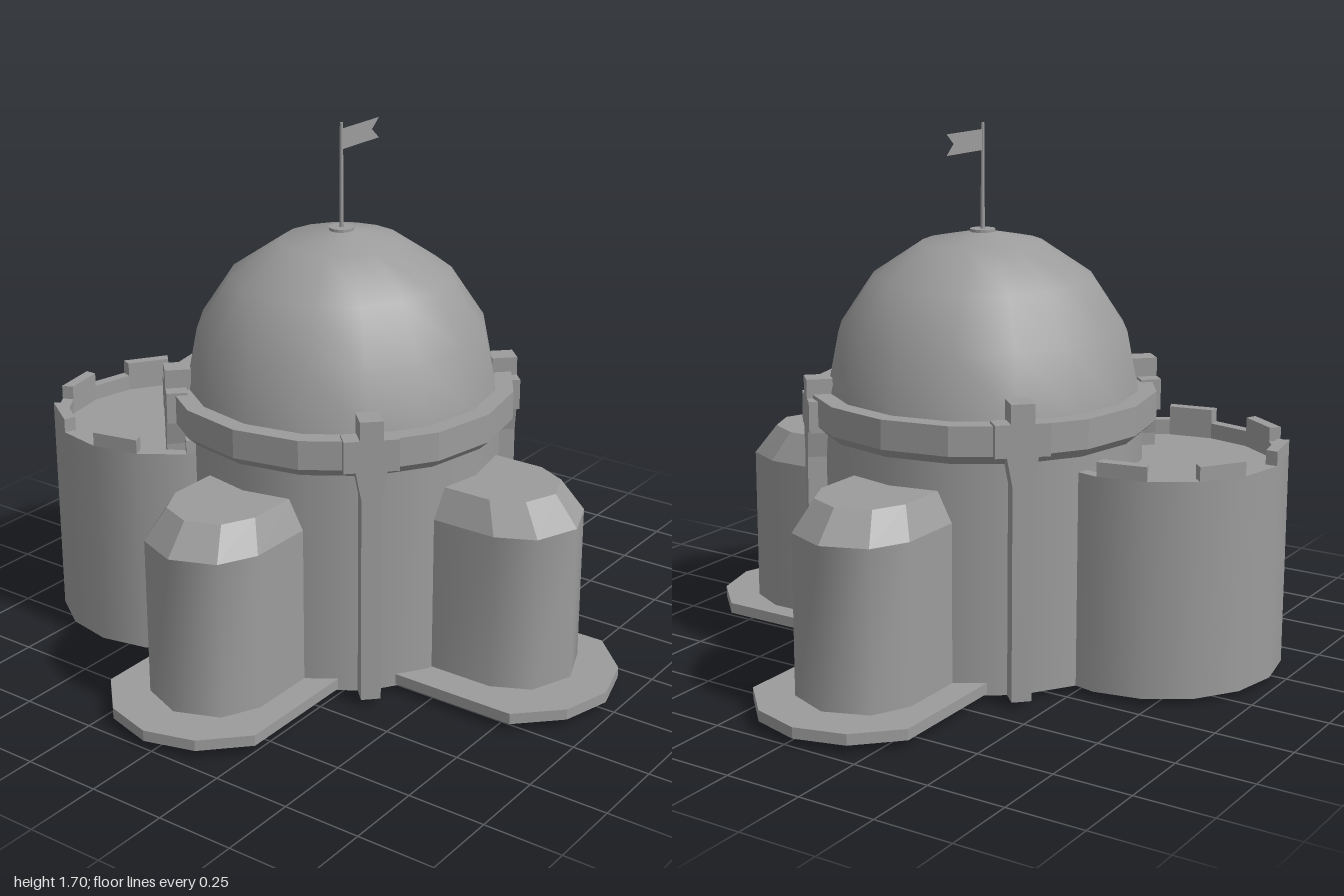
import * as THREE from 'three';
import { toCreasedNormals } from 'three/addons/utils/BufferGeometryUtils.js';

const SIDES = 16;
const smooth = new THREE.MeshStandardMaterial({ color: 0x9c9c9c, side: THREE.DoubleSide });
const faceted = new THREE.MeshStandardMaterial({ color: 0x9c9c9c, side: THREE.DoubleSide, flatShading: true });

function add(parent, name, geometry, material = faceted) {
  const mesh = new THREE.Mesh(geometry, material);
  mesh.name = name;
  parent.add(mesh);
}

function triangles(list) {
  const geometry = new THREE.BufferGeometry();
  geometry.setAttribute('position', new THREE.Float32BufferAttribute(list.flat(), 3));
  geometry.computeVertexNormals();
  return geometry;
}

// Wall between two open outlines of [x, z] points at heights y0 and y1
function band(low, y0, high, y1) {
  const t = [];
  for (let i = 0; i < low.length - 1; i++) {
    const a = [low[i][0], y0, low[i][1]], b = [low[i + 1][0], y0, low[i + 1][1]];
    const c = [high[i + 1][0], y1, high[i + 1][1]], d = [high[i][0], y1, high[i][1]];
    t.push(a, b, c, a, c, d);
  }
  return triangles(t);
}

// Flat lid over an outline
function lid(outline, y) {
  const p = outline.map(([x, z]) => [x, y, z]), t = [];
  for (let i = 1; i < p.length - 1; i++) t.push(p[0], p[i], p[i + 1]);
  return triangles(t);
}

// Outline mirrored about x = 0, from the left points to the tip
function mirrored(points, tip) {
  return [...points.map(([x, z]) => [-x, z]), [0, tip], ...[...points].reverse()];
}

function lathe(points) {
  return new THREE.LatheGeometry(points.map(([r, y]) => new THREE.Vector2(r, y)), SIDES);
}

function makeWing(angle, shift) {
  const wing = new THREE.Group();
  wing.name = 'wing';
  wing.rotation.y = angle;
  // Apse with sloped shoulder
  const apse = new THREE.Group();
  apse.name = 'apse';
  apse.position.x = shift;
  const wall = mirrored([[0.198, 0.46], [0.198, 0.69], [0.14, 0.808]], 0.863);
  const top = mirrored([[0.154, 0.46], [0.154, 0.645], [0.105, 0.743]], 0.785);
  add(apse, 'apseWall', toCreasedNormals(band(wall, 0.025, wall, 0.565), 0.9), smooth);
  add(apse, 'apseShoulder', band(wall, 0.565, top, 0.66));
  add(apse, 'apseRoof', lid(top, 0.66));
  wing.add(apse);
  // Terrace slab, open underneath
  const slab = mirrored([[0.285, 0.4], [0.285, 0.828], [0.16, 0.955]], 1);
  add(wing, 'terraceEdge', band(slab, 0.025, slab, 0.06));
  add(wing, 'terraceTop', lid(slab, 0.06));
  return wing;
}

function makeButtress(angle, drop) {
  const buttress = new THREE.Group();
  buttress.name = 'buttress';
  // Shaft flaring out under a wide bracket
  const half = [[0.031, 0.02], [0.031, 0.69], [0.048, 0.78], [0.084, 0.78], [0.084, 0.88]];
  const outline = [...half, ...half.map(([x, y]) => [-x, y]).reverse()];
  const shape = new THREE.Shape(outline.map(([x, y]) => new THREE.Vector2(x, y)));
  const shaft = new THREE.ExtrudeGeometry(shape, { depth: 0.066, bevelEnabled: false });
  shaft.translate(0, 0, 0.5);
  add(buttress, 'buttressShaft', shaft);
  // Merlon on top, flush with the bracket's face
  add(buttress, 'buttressMerlon', new THREE.BoxGeometry(0.072, 0.07, 0.082).translate(0, 0.905, 0.525));
  buttress.rotation.y = angle;
  buttress.position.y = -drop;
  return buttress;
}

function makeTower() {
  const tower = new THREE.Group();
  tower.name = 'sideTower';
  const radius = 0.4, inner = 0.362, base = 0.02, floor = 0.65, rim = 0.7, top = 0.745;
  add(tower, 'towerWall', new THREE.CylinderGeometry(radius, radius, rim - base, SIDES, 1, true).translate(0, (rim + base) / 2, 0), smooth);
  // Parapet around a sunken floor
  add(tower, 'towerParapet', lathe([[radius, rim], [inner, rim], [inner, floor]]));
  add(tower, 'towerFloor', new THREE.CircleGeometry(inner, SIDES).rotateX(-Math.PI / 2).translate(0, floor, 0));
  // Merlons on every second side
  for (let i = 0; i < SIDES; i += 2) {
    const a = Math.PI + i * Math.PI * 2 / SIDES, b = a + Math.PI * 2 / SIDES;
    const at = (r, t) => new THREE.Vector2(r * Math.cos(t), r * Math.sin(t));
    const shape = new THREE.Shape([at(radius, a), at(radius, b), at(inner, b), at(inner, a)]);
    const merlon = new THREE.ExtrudeGeometry(shape, { depth: top - rim, bevelEnabled: false });
    add(tower, 'towerMerlon', merlon.rotateX(-Math.PI / 2).translate(0, rim, 0));
  }
  return tower;
}

export function createModel() {
  const model = new THREE.Group();
  model.name = 'domedBuilding';
  const hall = new THREE.Group();
  hall.name = 'hall';
  hall.position.x = -0.03;
  model.add(hall);

  // Round hall, cornice and dome
  add(hall, 'hallWall', new THREE.CylinderGeometry(0.512, 0.512, 0.74, SIDES, 1, true).translate(0, 0.39, 0), smooth);
  add(hall, 'cornice', lathe([[0.5, 0.75], [0.522, 0.75], [0.554, 0.78], [0.554, 0.872], [0.48, 0.872]]));
  const arc = [];
  for (let i = 0; i <= 4; i++) {
    const a = Math.PI / 8 * i;
    arc.push([Math.max(0.0001, 0.497 * Math.cos(a)), 0.87 + 0.5 * Math.sin(a)]);
  }
  add(hall, 'dome', lathe(arc), smooth);

  // Flagpole and swallow-tailed flag
  add(hall, 'poleBase', new THREE.CylinderGeometry(0.04, 0.04, 0.02, SIDES).translate(0, 1.361, 0));
  add(hall, 'flagpole', new THREE.CylinderGeometry(0.005, 0.007, 0.33, 8).translate(0, 1.535, 0), smooth);
  const cloth = new THREE.Shape([[0, 1.615], [0.2, 1.615], [0.162, 1.648], [0.2, 1.68], [0, 1.68]].map(([x, y]) => new THREE.Vector2(x, y)));
  add(hall, 'flag', new THREE.ShapeGeometry(cloth).rotateY(Math.PI / 2));

  // Wings at the front, left and back
  hall.add(makeWing(0, 0), makeWing(Math.PI / 2, 0.02), makeWing(Math.PI, 0));

  // Four diagonal buttresses, the back left one set lower
  for (let i = 0; i < 4; i++) hall.add(makeButtress(Math.PI / 4 + i * Math.PI / 2, i === 1 ? 0.02 : 0));

  const tower = makeTower();
  tower.position.set(-0.57, 0, 0.187);
  model.add(tower);
  return model;
}
